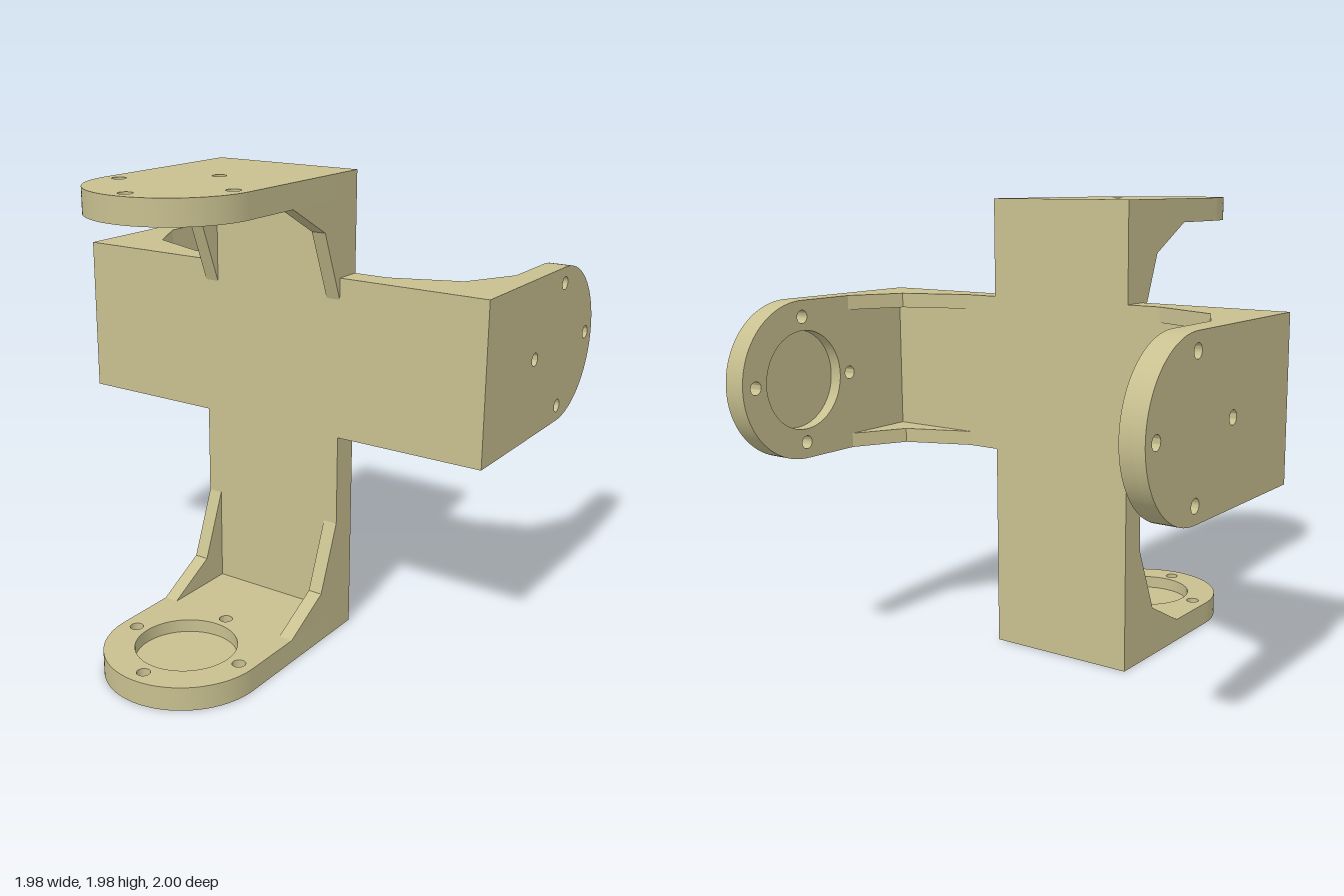
import * as THREE from 'three';
import { toCreasedNormals } from 'three/addons/utils/BufferGeometryUtils.js';

const HALF = 0.337;    // half width of every arm
const WALL = 0.058;    // half thickness of the cross plate
const REACH = 0.663;   // centre of the rounded arm end
const THICK = 0.1;     // arm thickness
const FLOOR = 0.045;   // material left under the round pocket
const GUSSET = 0.062;  // gusset thickness
const SPAN = 0.99;     // half length of both cross bars
const SIDE_Y = 1.227;  // height of the side arms

const material = new THREE.MeshStandardMaterial({ color: 0xc8c090 });

function extrude(shape, depth) {
  const g = new THREE.ExtrudeGeometry(shape, { depth, bevelEnabled: false, curveSegments: 32 });
  return toCreasedNormals(g, 0.5);
}

function mesh(name, geometry) {
  const m = new THREE.Mesh(geometry, material);
  m.name = name;
  return m;
}

function circle(x, y, r) {
  return new THREE.Path().absarc(x, y, r, 0, Math.PI * 2, true);
}

// Rounded tab outline with four screw holes, optionally with the bearing pocket
function tabShape(withPocket) {
  const s = new THREE.Shape();
  s.moveTo(-HALF, WALL);
  s.lineTo(HALF, WALL);
  s.lineTo(HALF, REACH);
  s.absarc(0, REACH, HALF, 0, Math.PI, false);
  s.closePath();
  for (let i = 0; i < 4; i++) {
    const a = i * Math.PI / 2;
    s.holes.push(circle(0.268 * Math.cos(a), REACH + 0.268 * Math.sin(a), 0.028));
  }
  if (withPocket) s.holes.push(circle(0, REACH, 0.21));
  return s;
}

// One arm: local y points out of the plate, local z from the outer face inwards
function arm(name, position, out, inward) {
  const group = new THREE.Group();
  group.name = name;

  group.add(mesh('armOuterLayer', extrude(tabShape(false), FLOOR)));
  const inner = mesh('armPocketLayer', extrude(tabShape(true), THICK - FLOOR));
  inner.position.z = FLOOR;
  group.add(inner);

  // Pair of bent corner gussets
  const profile = new THREE.Shape([[WALL, THICK], [0.39, THICK], [0.17, 0.22], [WALL, 0.505]]
    .map(([x, y]) => new THREE.Vector2(x, y)));
  const turn = new THREE.Matrix4().makeBasis(
    new THREE.Vector3(0, 1, 0), new THREE.Vector3(0, 0, 1), new THREE.Vector3(1, 0, 0));
  for (const x of [-HALF, HALF - GUSSET]) {
    const gusset = mesh('gusset', extrude(profile, GUSSET).applyMatrix4(turn));
    gusset.position.x = x;
    group.add(gusset);
  }

  const across = new THREE.Vector3().crossVectors(out, inward);
  group.quaternion.setFromRotationMatrix(new THREE.Matrix4().makeBasis(across, out, inward));
  group.position.copy(position);
  return group;
}

export function createModel() {
  const model = new THREE.Group();
  model.name = 'crossBracket';
  const v = (x, y, z) => new THREE.Vector3(x, y, z);

  // Cross-shaped plate joining the two U brackets
  const lo = SIDE_Y - HALF, hi = SIDE_Y + HALF, top = 2 * SPAN;
  const cross = new THREE.Shape([
    [-HALF, 0], [HALF, 0], [HALF, lo], [SPAN, lo], [SPAN, hi], [HALF, hi],
    [HALF, top], [-HALF, top], [-HALF, hi], [-SPAN, hi], [-SPAN, lo], [-HALF, lo],
  ].map(([x, y]) => new THREE.Vector2(x, y)));
  const plate = mesh('crossPlate', extrude(cross, 2 * WALL));
  plate.position.z = -WALL;
  model.add(plate);

  // Upright bracket opens forwards, level bracket opens backwards
  model.add(arm('bottomArm', v(0, 0, 0), v(0, 0, 1), v(0, 1, 0)));
  model.add(arm('topArm', v(0, top, 0), v(0, 0, 1), v(0, -1, 0)));
  model.add(arm('leftArm', v(SPAN, SIDE_Y, 0), v(0, 0, -1), v(-1, 0, 0)));
  model.add(arm('rightArm', v(-SPAN, SIDE_Y, 0), v(0, 0, -1), v(1, 0, 0)));
  return model;
}
